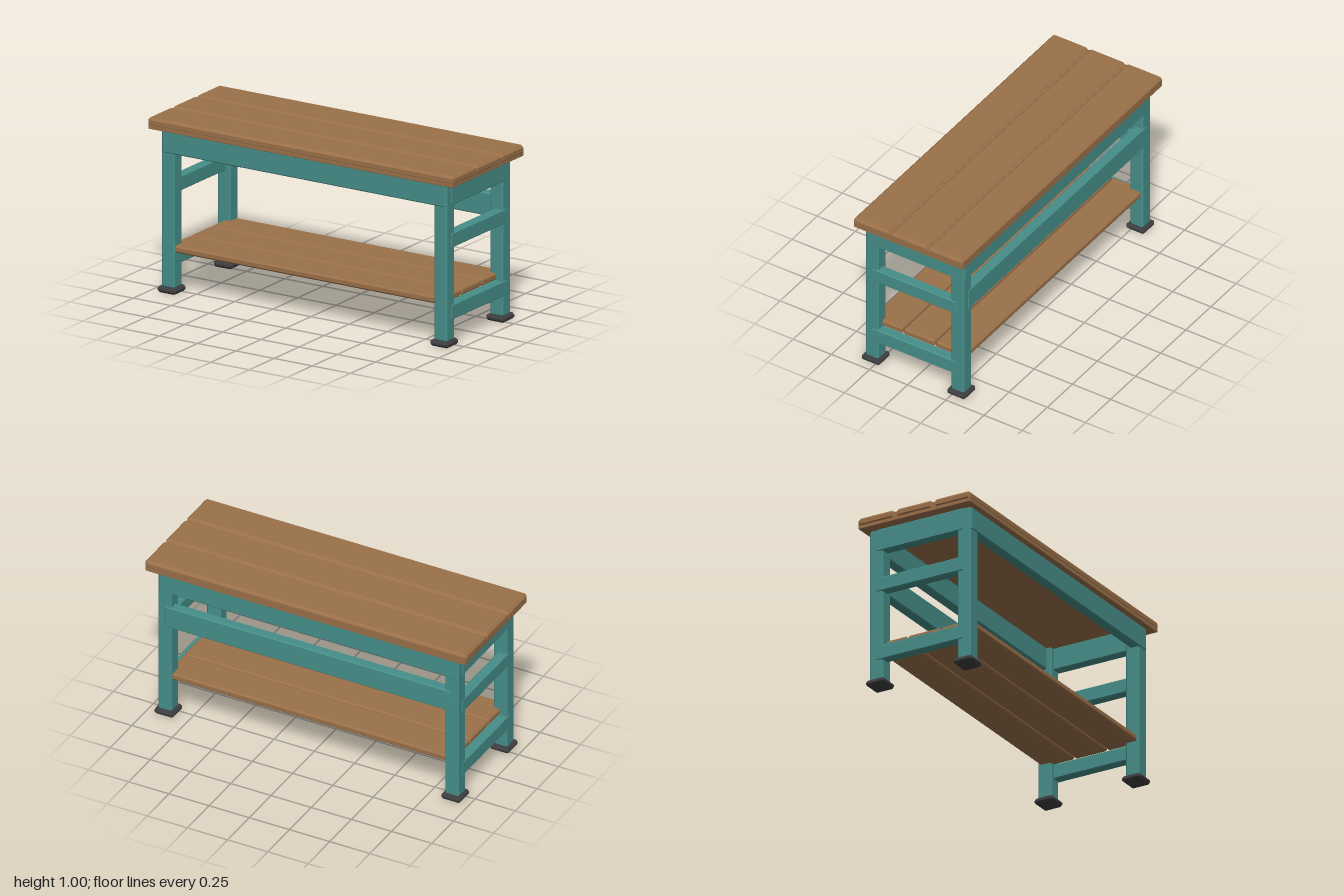
import * as THREE from 'three';
import { ConvexGeometry } from 'three/addons/geometries/ConvexGeometry.js';

const paint = new THREE.MeshStandardMaterial({ color: 0x468e89 });
paint.name = 'teal paint';
const wood = new THREE.MeshStandardMaterial({ color: 0x9a7049 });
wood.name = 'brown wood';
const rubber = new THREE.MeshStandardMaterial({ color: 0x3d3d40 });
rubber.name = 'dark rubber';

// Box with chamfered edges, given by its limits on each axis
function block(name, material, [x0, x1], [y0, y1], [z0, z1], c) {
  const half = [(x1 - x0) / 2, (y1 - y0) / 2, (z1 - z0) / 2];
  const points = [];
  for (const sx of [-1, 1]) for (const sy of [-1, 1]) for (const sz of [-1, 1]) {
    for (let axis = 0; axis < 3; axis++) {
      const h = half.map((v, i) => (i === axis ? v : v - c));
      points.push(new THREE.Vector3(sx * h[0], sy * h[1], sz * h[2]));
    }
  }
  const mesh = new THREE.Mesh(new ConvexGeometry(points), material);
  mesh.name = name;
  mesh.position.set((x0 + x1) / 2, (y0 + y1) / 2, (z0 + z1) / 2);
  return mesh;
}

// Limits centred on a point
const around = (centre, size) => [centre - size / 2, centre + size / 2];

export function createModel() {
  const bench = new THREE.Group();
  bench.name = 'workbench';
  const legX = 0.892, legZ = 0.28, leg = 0.085, rail = 0.06;
  const railX = 0.938 - rail / 2, railZ = 0.327 - rail / 2;

  // Legs and feet
  for (const sx of [-1, 1]) for (const sz of [-1, 1]) {
    bench.add(block('leg', paint, around(sx * legX, leg), [0.03, 0.936], around(sz * legZ, leg), 0.009));
    bench.add(block('foot', rubber, around(sx * legX, 0.12), [0, 0.035], around(sz * legZ, 0.12), 0.012));
  }

  // Front and back aprons, and the long back rail
  for (const sz of [-1, 1]) {
    bench.add(block('longApron', paint, [-0.925, 0.925], [0.804, 0.936], around(sz * railZ, rail), 0.006));
  }
  bench.add(block('backRail', paint, [-0.89, 0.89], [0.582, 0.715], around(-railZ, rail), 0.006));

  // Side aprons, middle rails and lower rails
  const sideRails = [['sideApron', 0.804, 0.936], ['middleSideRail', 0.56, 0.645], ['lowerSideRail', 0.147, 0.235]];
  for (const sx of [-1, 1]) for (const [name, y0, y1] of sideRails) {
    bench.add(block(name, paint, around(sx * railX, rail), [y0, y1], [-0.28, 0.28], 0.006));
  }

  // Top: a base board under three planks
  bench.add(block('topBase', wood, [-0.994, 0.994], [0.935, 0.985], [-0.356, 0.356], 0.002));
  for (const i of [-1, 0, 1]) {
    bench.add(block('topPlank', wood, [-1, 1], [0.948, 1], around(i * 0.2425, 0.231), 0.014));
  }

  // Lower shelf planks
  for (const i of [-1, 0, 1]) {
    bench.add(block('shelfPlank', wood, [-0.89, 0.89], [0.235, 0.275], around(i * 0.209, 0.202), 0.009));
  }
  return bench;
}
